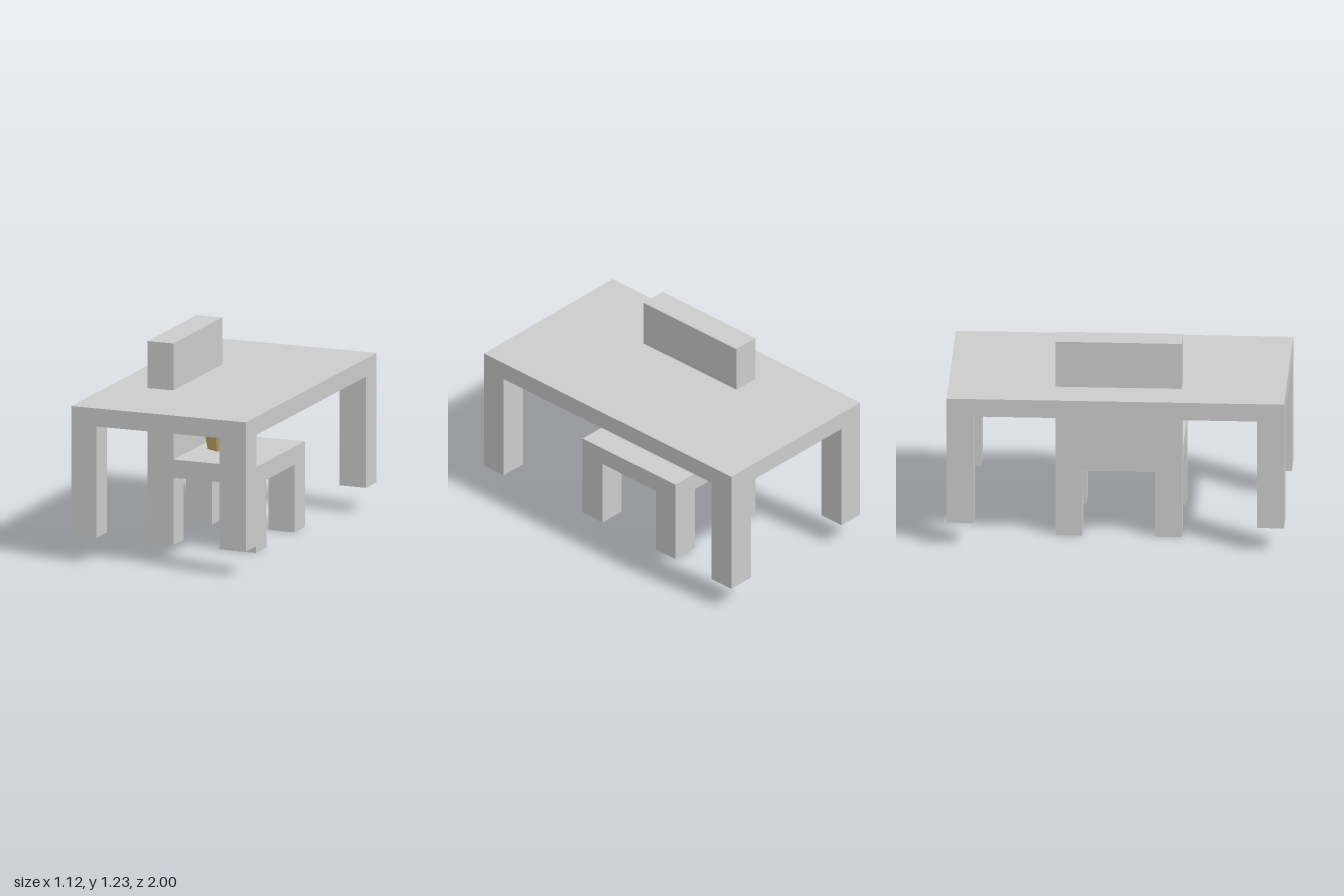
import * as THREE from 'three';

const grey = new THREE.MeshStandardMaterial({ color: 0xcccccc, flatShading: true });
const clay = new THREE.MeshStandardMaterial({ color: 0xc8ab6a, flatShading: true, side: THREE.DoubleSide });
const soilMat = new THREE.MeshStandardMaterial({ color: 0x5a4028, flatShading: true });
const green = new THREE.MeshStandardMaterial({ color: 0x6cbf2a, flatShading: true });

// Box given by its minimum and maximum corners
function box(parent, name, [x0, y0, z0], [x1, y1, z1]) {
  const mesh = new THREE.Mesh(new THREE.BoxGeometry(x1 - x0, y1 - y0, z1 - z0), grey);
  mesh.position.set((x0 + x1) / 2, (y0 + y1) / 2, (z0 + z1) / 2);
  mesh.name = name;
  parent.add(mesh);
}

function createTable() {
  const table = new THREE.Group();
  table.name = 'table';
  box(table, 'tableTop', [-0.56, 0.83, -1], [0.56, 0.94, 1]);
  for (const [x0, x1] of [[-0.56, -0.398], [0.39, 0.56]])
    for (const [z0, z1] of [[-1, -0.84], [0.84, 1]])
      box(table, 'tableLeg', [x0, 0.155, z0], [x1, 0.83, z1]);
  return table;
}

function createChair() {
  const chair = new THREE.Group();
  chair.name = 'chair';
  box(chair, 'backrest', [-0.33, 0.41, -0.367], [-0.165, 1.225, 0.383]);
  box(chair, 'seat', [-0.165, 0.41, -0.367], [0.365, 0.52, 0.383]);
  for (const [x0, x1] of [[-0.33, -0.165], [0.197, 0.365]])
    for (const [z0, z1] of [[-0.367, -0.208], [0.223, 0.383]])
      box(chair, 'chairLeg', [x0, 0, z0], [x1, 0.41, z1]);
  return chair;
}

// Flat, faceted leaf that grows along +z from its base and curls up at the tip
function leafGeometry(length, width) {
  const geo = new THREE.SphereGeometry(1, 6, 4);
  geo.rotateX(Math.PI / 2);
  geo.scale(width / 2, 0.007, length / 2);
  geo.translate(0, 0, length / 2);
  const p = geo.attributes.position;
  for (let i = 0; i < p.count; i++) {
    const t = p.getZ(i) / length;
    p.setY(i, p.getY(i) + 0.012 * t * t + 4 * p.getX(i) ** 2);
  }
  geo.computeVertexNormals();
  return geo;
}

function createPlant() {
  const plant = new THREE.Group();
  plant.name = 'pottedPlant';
  plant.position.set(-0.008, 0.52, -0.003);

  // Six-sided pot with a thick rim
  const profile = [[0, 0], [0.091, 0], [0.107, 0.086], [0.114, 0.086], [0.1235, 0.096],
    [0.1235, 0.114], [0.119, 0.12], [0.1, 0.12], [0.098, 0.1]];
  const pot = new THREE.Mesh(
    new THREE.LatheGeometry(profile.map(([r, y]) => new THREE.Vector2(r, y)), 6), clay);
  pot.name = 'pot';
  const soil = new THREE.Mesh(new THREE.CylinderGeometry(0.099, 0.099, 0.01, 6), soilMat);
  soil.name = 'soil';
  soil.position.y = 0.103;
  plant.add(pot, soil);

  // Rosette of leaves: heading, upward tilt, length, width
  const leaves = [
    [1.45, 0.18, 0.13, 0.07], [2.3, 0.12, 0.135, 0.075], [3.1, 0.17, 0.145, 0.08],
    [4.0, 0.14, 0.135, 0.075], [4.75, 0.16, 0.124, 0.07], [5.6, 0.13, 0.125, 0.075],
    [0.45, 0.13, 0.125, 0.075],
    [0.05, 0.36, 0.12, 0.07], [3.6, 0.42, 0.115, 0.09], [2.75, 0.44, 0.11, 0.07],
    [5.1, 0.4, 0.09, 0.065], [1.3, 0.4, 0.08, 0.06],
  ];
  for (const [heading, tilt, length, width] of leaves) {
    const leaf = new THREE.Mesh(leafGeometry(length, width), green);
    leaf.name = 'leaf';
    leaf.position.y = 0.118;
    leaf.rotation.set(-tilt, heading, 0, 'YXZ');
    plant.add(leaf);
  }
  return plant;
}

export function createModel() {
  const model = new THREE.Group();
  model.name = 'tableAndChair';
  model.add(createTable(), createChair(), createPlant());
  return model;
}
